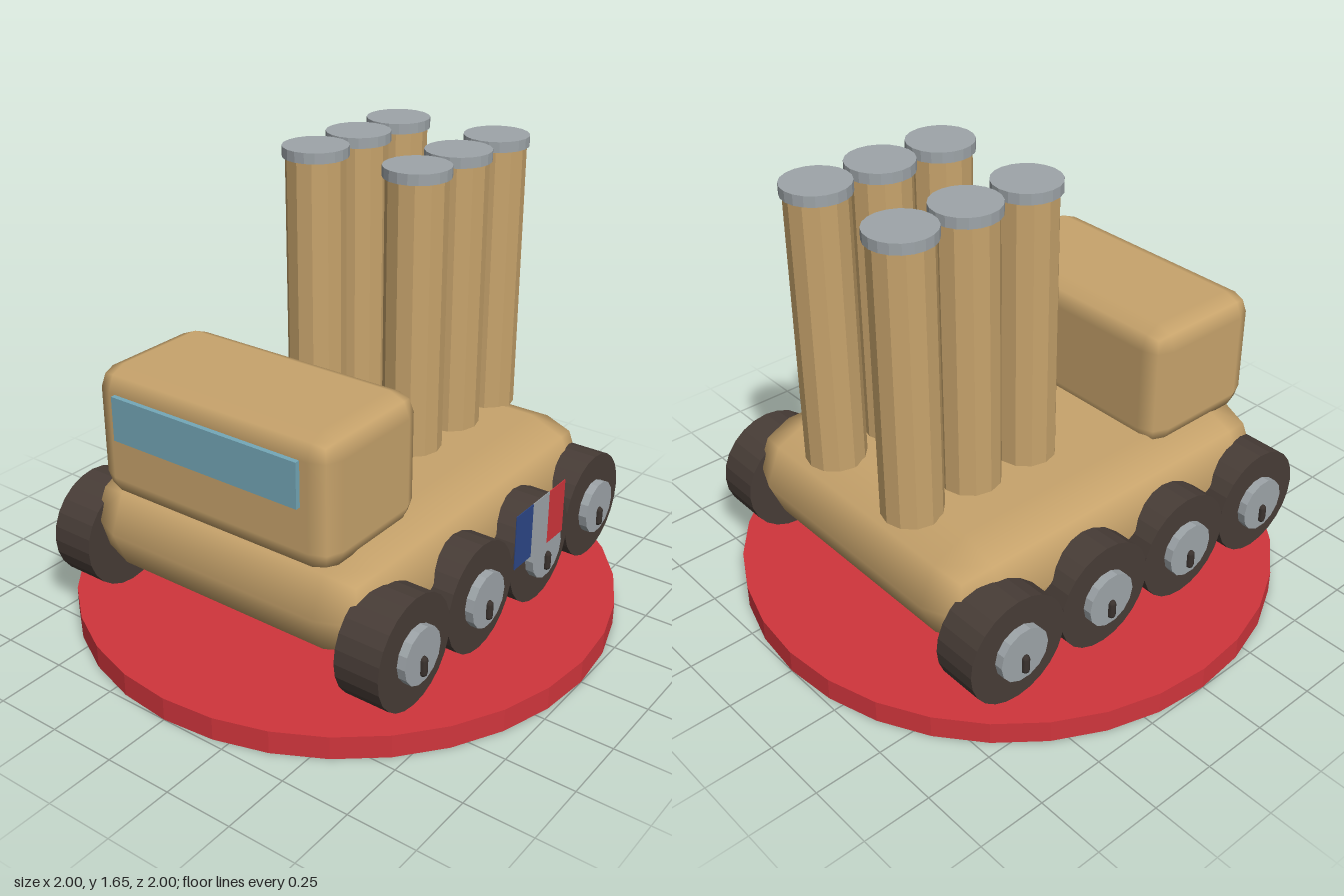
import * as THREE from 'three';

const paint = (name, color) => {
  const m = new THREE.MeshStandardMaterial({ color });
  m.name = name;
  return m;
};

// Rounded box: each edge is rounded by two 45 degree steps, normals are smooth
function roundedBox(w, h, d, r) {
  const g = new THREE.BoxGeometry(1, 1, 1, 3, 3, 3);
  const core = new THREE.Vector3(w / 2 - r, h / 2 - r, d / 2 - r);
  const pos = g.attributes.position, nor = g.attributes.normal;
  const step = (v) => (Math.abs(v) > 0.3 ? Math.sign(v) : 0);
  for (let i = 0; i < pos.count; i++) {
    const p = new THREE.Vector3().fromBufferAttribute(pos, i);
    const n = new THREE.Vector3(step(p.x), step(p.y), step(p.z)).normalize();
    pos.setXYZ(i,
      Math.sign(p.x) * core.x + n.x * r,
      Math.sign(p.y) * core.y + n.y * r,
      Math.sign(p.z) * core.z + n.z * r);
    nor.setXYZ(i, n.x, n.y, n.z);
  }
  return g;
}

// Faceted cylinder
function facetedCylinder(r, h, sides) {
  const g = new THREE.CylinderGeometry(r, r, h, sides).toNonIndexed();
  g.computeVertexNormals();
  return g;
}

export function createModel() {
  const model = new THREE.Group();
  const tan = paint('tan bodywork', 0xc8a46c);
  const red = paint('red', 0xd0353c);
  const rubber = paint('dark rubber', 0x483d37);
  const grey = paint('light grey', 0x9ea5a9);
  const glass = paint('blue glass', 0x74a8b8);
  const blue = paint('blue', 0x2d4788);
  const dark = paint('dark bolt', 0x3a322e);
  const flagRed = red.clone();
  flagRed.side = THREE.DoubleSide;

  const add = (name, geometry, material, x, y, z, parent = model) => {
    const mesh = new THREE.Mesh(geometry, material);
    mesh.name = name;
    mesh.position.set(x, y, z);
    parent.add(mesh);
    return mesh;
  };

  // Display stand
  add('baseDisc', facetedCylinder(1, 0.085, 32), red, 0, 0.0425, 0);

  // Hull and cabin
  add('hull', roundedBox(1.25, 0.39, 1.52, 0.19), tan, 0, 0.435, 0);
  add('cabin', roundedBox(0.985, 0.475, 0.505, 0.08), tan, 0, 0.8175, 0.4975);
  add('windshield', new THREE.BoxGeometry(0.77, 0.16, 0.019), glass, 0, 0.895, 0.7585);

  // Six upright launch tubes with caps
  const tubeGeo = facetedCylinder(0.108, 1, 12);
  const capGeo = facetedCylinder(0.118, 0.038, 20);
  for (const x of [-0.212, 0.212]) {
    for (const z of [-0.107, -0.357, -0.607]) {
      add('launchTube', tubeGeo, tan, x, 1.12, z);
      add('tubeCap', capGeo, grey, x, 1.636, z);
    }
  }

  // Four wheels a side, each with a hub and a bolt
  const tyreGeo = facetedCylinder(0.2, 0.168, 24).rotateZ(Math.PI / 2);
  const hubGeo = facetedCylinder(0.1, 0.05, 14).rotateZ(Math.PI / 2);
  const boltGeo = new THREE.CapsuleGeometry(0.015, 0.045, 3, 8);
  for (const side of [-1, 1]) {
    for (const z of [0.587, 0.197, -0.193, -0.583]) {
      const wheel = new THREE.Group();
      wheel.name = side > 0 ? 'leftWheel' : 'rightWheel';
      wheel.position.set(side * 0.622, 0.33, z);
      add('tyre', tyreGeo, rubber, 0, 0, 0, wheel);
      add('hub', hubGeo, grey, side * 0.09, 0, 0, wheel);
      add('hubBolt', boltGeo, dark, side * 0.117, -0.037, 0, wheel);
      model.add(wheel);
    }
  }

  // Striped flag on the left side, a very thin plate per stripe
  const stripeGeo = new THREE.BoxGeometry(0.003, 0.205, 0.11);
  [blue, grey, red].forEach((material, i) => {
    add('flagStripe', stripeGeo, material, 0.743, 0.478, -0.005 - i * 0.11);
  });

  return model;
}
